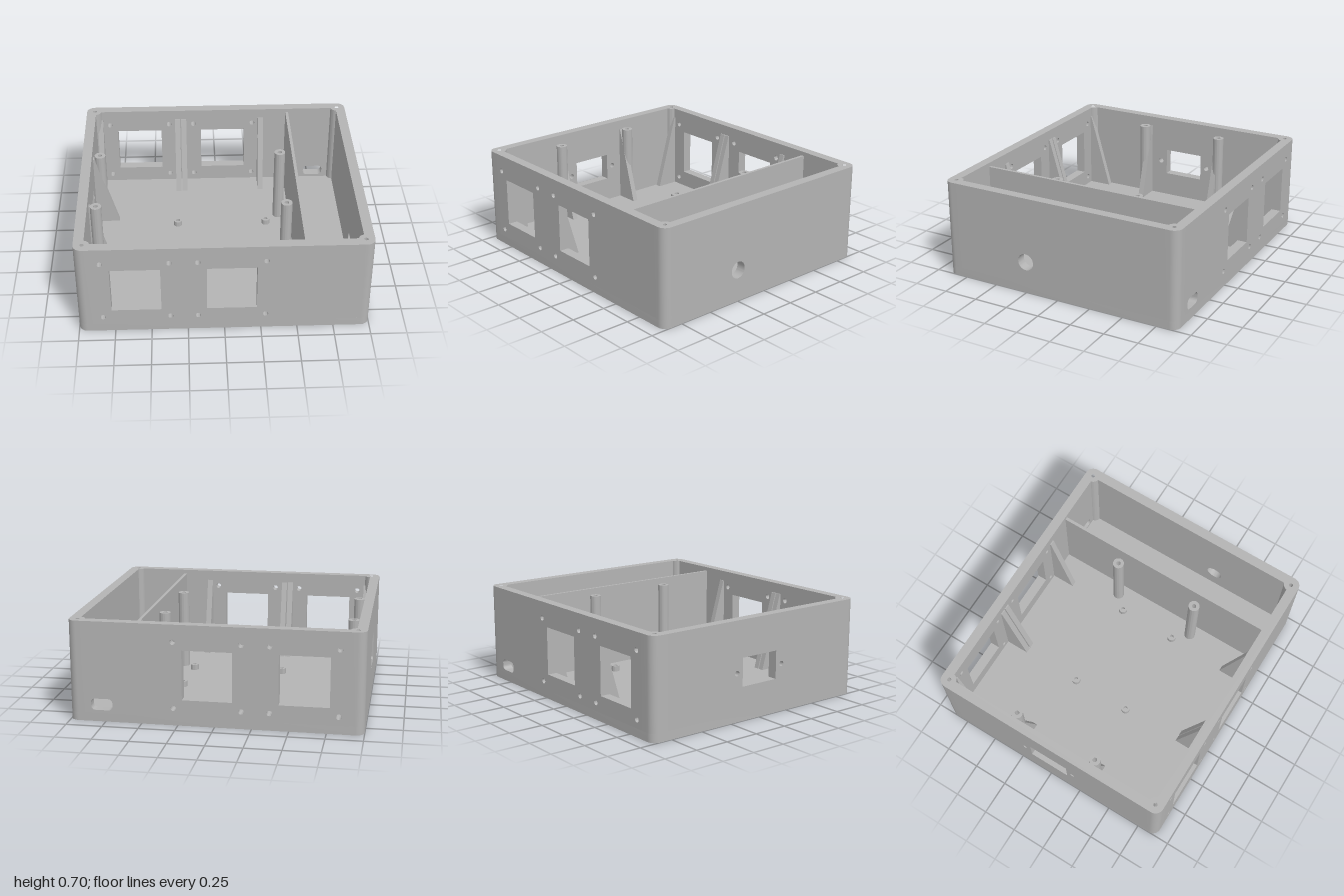
import * as THREE from 'three';
import { toCreasedNormals } from 'three/addons/utils/BufferGeometryUtils.js';

const HX = 1, HZ = 0.9, H = 0.7;      // outer half sizes and height
const T = 0.07, FLOOR = 0.06, R = 0.06; // wall, floor, corner radius
const IX = HX - T, IZ = HZ - T;       // inner half sizes
const JX = 0.88, JZ = 0.78;           // where walls meet the corner pillars

export function createModel() {
  const model = new THREE.Group();
  const grey = new THREE.MeshStandardMaterial({ color: 0xb3b3b3 });
  grey.name = 'grey plastic';

  const add = (name, geometry) => {
    const mesh = new THREE.Mesh(geometry, grey);
    mesh.name = name;
    model.add(mesh);
    return mesh;
  };
  const extrude = (shape, depth) => toCreasedNormals(
    new THREE.ExtrudeGeometry(shape, { depth, bevelEnabled: false, curveSegments: 24 }), 0.6);
  // Extrude a plan outline upward between two heights (shape y is -z)
  const rise = (shape, y0, y1) => extrude(shape, y1 - y0).rotateX(-Math.PI / 2).translate(0, y0, 0);
  const circle = (x, y, r) => new THREE.Path().absarc(x, y, r, 0, Math.PI * 2, true);
  const rect = (x0, y0, x1, y1) => new THREE.Path(
    [[x0, y0], [x0, y1], [x1, y1], [x1, y0]].map(p => new THREE.Vector2(...p)));
  const arc = (cx, cy, r, a0, a1, n = 10) => Array.from({ length: n + 1 }, (_, i) => {
    const a = a0 + (a1 - a0) * i / n;
    return [cx + r * Math.cos(a), cy + r * Math.sin(a)];
  });
  const outline = pts => new THREE.Shape(pts.map(p => new THREE.Vector2(...p)));
  const roundRect = (x0, y0, x1, y1, r) => outline([
    ...arc(x1 - r, y1 - r, r, 0, Math.PI / 2),
    ...arc(x0 + r, y1 - r, r, Math.PI / 2, Math.PI),
    ...arc(x0 + r, y0 + r, r, Math.PI, Math.PI * 1.5),
    ...arc(x1 - r, y0 + r, r, Math.PI * 1.5, Math.PI * 2),
  ]);

  // Floor
  add('floor', rise(roundRect(-HX, -HZ, HX, HZ, R), 0, FLOOR));

  // Wall panel with openings
  const panel = (half, holes) => {
    const s = outline([[-half, FLOOR], [half, FLOOR], [half, H], [-half, H]]);
    s.holes.push(...holes);
    return extrude(s, T);
  };
  // Two square openings with four screw holes each
  const fanOpenings = () => [-0.6, 0.05].flatMap(x => [
    rect(x - 0.17, 0.18, x + 0.17, 0.525),
    ...[-0.23, 0.23].flatMap(dx => [0.12, 0.58].map(y => circle(x + dx, y, 0.019))),
  ]);
  const cableSlot = new THREE.Path(roundRect(0.7, 0.08, 0.85, 0.16, 0.03).getPoints());

  add('frontWall', panel(JX, fanOpenings()).translate(0, 0, IZ));
  add('backWall', panel(JX, [...fanOpenings(), cableSlot]).translate(0, 0, -HZ));
  add('leftWall', panel(JZ, [circle(0.25, 0.23, 0.06)])
    .rotateY(-Math.PI / 2).translate(HX, 0, 0));
  add('rightWall', panel(JZ, [rect(-0.15, 0.24, 0.15, 0.44), circle(-0.2, 0.34, 0.019), circle(0.2, 0.34, 0.019)])
    .rotateY(-Math.PI / 2).translate(-IX, 0, 0));

  // Corner pillars: round outside, bulging inside, with a screw hole
  for (const sx of [-1, 1]) for (const sz of [-1, 1]) {
    const cx = 0.94, cz = 0.84;
    const pts = [
      [JX, HZ], ...arc(HX - R, HZ - R, R, Math.PI / 2, 0), [HX, JZ], [IX, JZ],
      ...arc(cx, cz, 0.05, Math.PI * 1.5 - 0.2, Math.PI + 0.2), [JX, IZ],
    ];
    const s = outline(pts.map(([x, z]) => [sx * x, sz * z]));
    s.holes.push(circle(sx * cx, sz * cz, 0.014));
    add('cornerPillar', rise(s, FLOOR, H));
  }

  // Inner partition
  add('partition', new THREE.BoxGeometry(0.022, 0.67 - FLOOR, 2 * IZ)
    .translate(0.55, (0.67 + FLOOR) / 2, 0));

  // Triangular ribs bracing the walls
  const ribShape = outline([[0, FLOOR], [0.17, FLOOR], [0.008, 0.625], [0, 0.625]]);
  const ribGeometry = extrude(ribShape, 0.04).translate(0, 0, -0.02);
  const rib = (x, z, turn) => {
    const m = add('wallRib', ribGeometry);
    m.position.set(x, 0, z);
    m.rotation.y = turn;
  };
  for (const x of [-0.9, -0.302, -0.254, 0.345]) {
    rib(x, -IZ, -Math.PI / 2);
    rib(x, IZ, Math.PI / 2);
  }
  for (const z of [-0.3, 0.3]) rib(-IX, z, 0);

  // Hollow mounting posts
  const post = (name, x, z, r, bore, top) => {
    const s = new THREE.Shape().absarc(0, 0, r, 0, Math.PI * 2, false);
    s.holes.push(circle(0, 0, bore));
    add(name, rise(s, FLOOR, top)).position.set(x, 0, z);
  };
  for (const side of [-1, 1]) {
    for (const x of [-0.88, 0.458]) post('tallPost', x, side * 0.32, 0.04, 0.016, 0.635);
    for (const x of [-0.313, 0.357]) post('shortPost', x, side * 0.218, 0.031, 0.014, 0.1);
  }

  return model;
}
